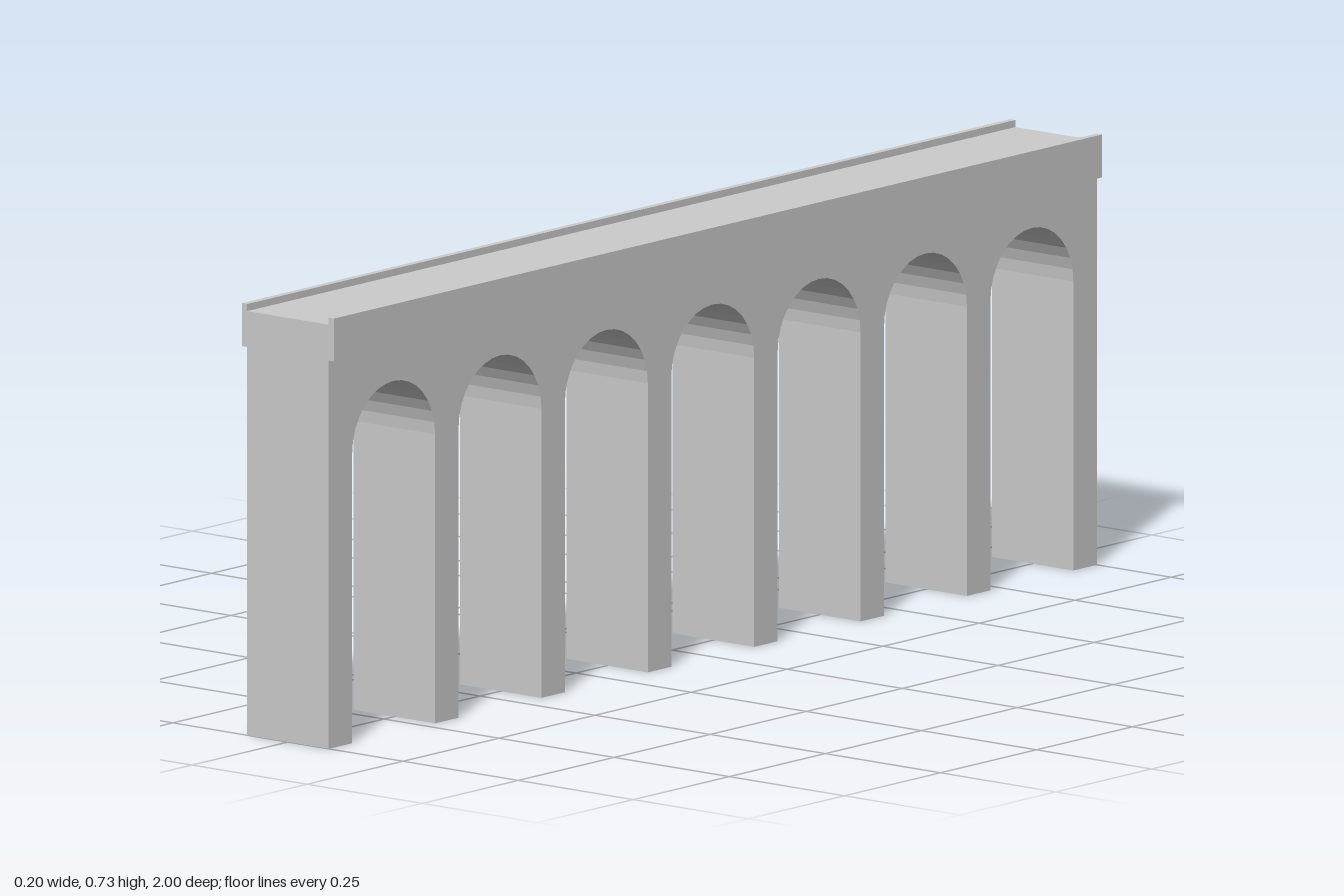
import * as THREE from 'three';

const LENGTH = 2, DECK_Y = 0.722, WIDTH = 0.177;
const ARCHES = 7, PIER = 0.061, CROWN_Y = 0.6;
const SPAN = (LENGTH - (ARCHES + 1) * PIER) / ARCHES;
const RADIUS = SPAN / 2, SPRING_Y = CROWN_Y - RADIUS;

export function createModel() {
  const model = new THREE.Group();
  model.name = 'viaduct';
  const material = new THREE.MeshStandardMaterial({ color: 0xcccccc, flatShading: true });

  // Side outline: deck on top, then piers and round arches along the underside
  const outline = new THREE.Shape();
  outline.moveTo(LENGTH / 2, 0);
  outline.lineTo(LENGTH / 2, DECK_Y);
  outline.lineTo(-LENGTH / 2, DECK_Y);
  outline.lineTo(-LENGTH / 2, 0);
  for (let i = 0; i < ARCHES; i++) {
    const start = -LENGTH / 2 + PIER + i * (SPAN + PIER);
    outline.lineTo(start, 0);
    outline.lineTo(start, SPRING_Y);
    outline.absarc(start + RADIUS, SPRING_Y, RADIUS, Math.PI, 0, true);
    outline.lineTo(start + SPAN, 0);
  }
  outline.closePath();

  // Extruded across the width, then turned to run along z
  const geometry = new THREE.ExtrudeGeometry(outline, {
    depth: WIDTH, bevelEnabled: false, curveSegments: 8,
  });
  geometry.translate(0, 0, -WIDTH / 2);
  geometry.rotateY(-Math.PI / 2);
  const arcade = new THREE.Mesh(geometry, material);
  arcade.name = 'arcadeAndDeck';
  model.add(arcade);

  // Parapets overhanging both long sides
  const bottom = 0.661, top = 0.734, outer = 0.1, thickness = outer - WIDTH / 2;
  for (const side of [1, -1]) {
    const parapet = new THREE.Mesh(
      new THREE.BoxGeometry(thickness, top - bottom, LENGTH), material);
    parapet.position.set(side * (outer - thickness / 2), (top + bottom) / 2, 0);
    parapet.name = side > 0 ? 'leftParapet' : 'rightParapet';
    model.add(parapet);
  }
  return model;
}
